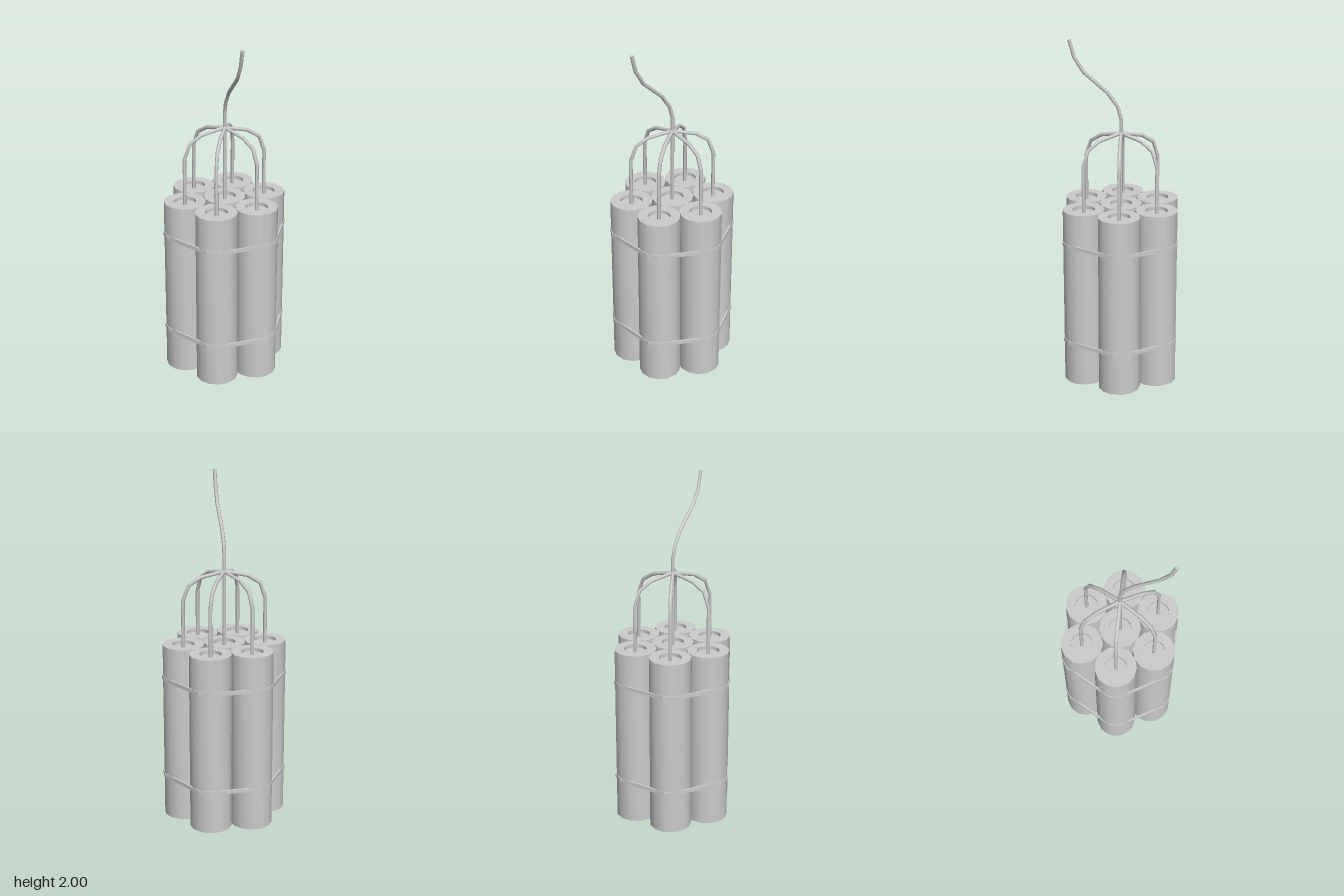
import * as THREE from 'three';
import { toCreasedNormals } from 'three/addons/utils/BufferGeometryUtils.js';

const SIDES = 13, R = 0.121, HOLE = 0.065, H = 1.05, RECESS = 0.02, RING = 0.239;
const FUSE_R = 0.011;

// Straight-segment path whose samples land exactly on its corners
class Polyline extends THREE.Curve {
  constructor(points) {
    super();
    this.points = points;
  }
  getPoint(t, target = new THREE.Vector3()) {
    const n = this.points.length - 1;
    const i = Math.min(Math.floor(t * n + 1e-6), n - 1);
    return target.lerpVectors(this.points[i], this.points[i + 1], t * n - i);
  }
  getPointAt(t, target) {
    return this.getPoint(t, target);
  }
  getTangentAt(t, target = new THREE.Vector3()) {
    const p = this.points, n = p.length - 1, i = Math.round(t * n);
    target.set(0, 0, 0);
    if (i > 0) target.add(p[i].clone().sub(p[i - 1]).normalize());
    if (i < n) target.add(p[i + 1].clone().sub(p[i]).normalize());
    return target.normalize();
  }
}

export function createModel() {
  const model = new THREE.Group();
  const grey = new THREE.MeshStandardMaterial({ color: 0xcccccc });
  const add = (geometry, name) => {
    const mesh = new THREE.Mesh(geometry, grey);
    mesh.name = name;
    model.add(mesh);
    return mesh;
  };
  const fuse = (points, name) => {
    const path = new Polyline(points.map((p) => new THREE.Vector3(...p)));
    return add(new THREE.TubeGeometry(path, points.length - 1, FUSE_R, 6, false), name);
  };

  // Tube stick with a shallow recess in both ends
  const profile = [
    [0, RECESS], [HOLE, RECESS], [HOLE, 0], [R, 0],
    [R, H], [HOLE, H], [HOLE, H - RECESS], [0, H - RECESS],
  ].map(([x, y]) => new THREE.Vector2(x, y));
  const stickGeometry = toCreasedNormals(new THREE.LatheGeometry(profile, SIDES), 0.7);

  const angles = Array.from({ length: 6 }, (_, i) => Math.PI / 6 + (i * Math.PI) / 3);
  add(stickGeometry, 'centreStick');
  angles.forEach((a) => {
    const x = Math.cos(a) * RING, z = Math.sin(a) * RING;
    const stick = add(stickGeometry, 'outerStick');
    stick.position.set(x, 0, z);
    // a flat side of each stick faces outward along z
    stick.rotation.y = z > 0 ? Math.PI / SIDES : Math.PI + Math.PI / SIDES;

    // Fuse bending over to the centre knot
    const bend = [[1, 1.0], [1, 1.3], [0.87, 1.39], [0.57, 1.437], [0, 1.467]];
    fuse(bend.map(([k, y]) => [x * k, y, z * k]), 'outerFuse');
  });

  // Main fuse
  const main = [
    [0, 1.0, 0], [0, 1.467, 0], [0, 1.55, 0], [-0.01, 1.62, 0.016], [-0.038, 1.7, 0.065],
    [-0.103, 1.815, 0.18], [-0.13, 1.9, 0.226], [-0.143, 1.998, 0.249],
  ];
  fuse(main, 'mainFuse');
  const tip = add(new THREE.CircleGeometry(FUSE_R, 6), 'mainFuseTip');
  const [end, before] = [main.at(-1), main.at(-2)].map((p) => new THREE.Vector3(...p));
  tip.position.copy(end);
  tip.lookAt(end.clone().multiplyScalar(2).sub(before));

  // Straps: a thin band wrapped round the outer sticks
  const loop = (r) => angles.flatMap((a) => [-1, 1].map((s) => {
    const b = a + s * 0.255;
    return new THREE.Vector2(
      Math.cos(a) * RING + Math.cos(b) * r,
      Math.sin(a) * RING + Math.sin(b) * r,
    );
  }));
  const band = new THREE.Shape(loop(0.126));
  band.holes.push(new THREE.Path(loop(0.115)));
  const strapGeometry = new THREE.ExtrudeGeometry(band, { depth: 0.022, bevelEnabled: false });
  strapGeometry.translate(0, 0, -0.011).rotateX(-Math.PI / 2);
  for (const y of [0.252, 0.852]) add(strapGeometry, 'strap').position.y = y;

  return model;
}
